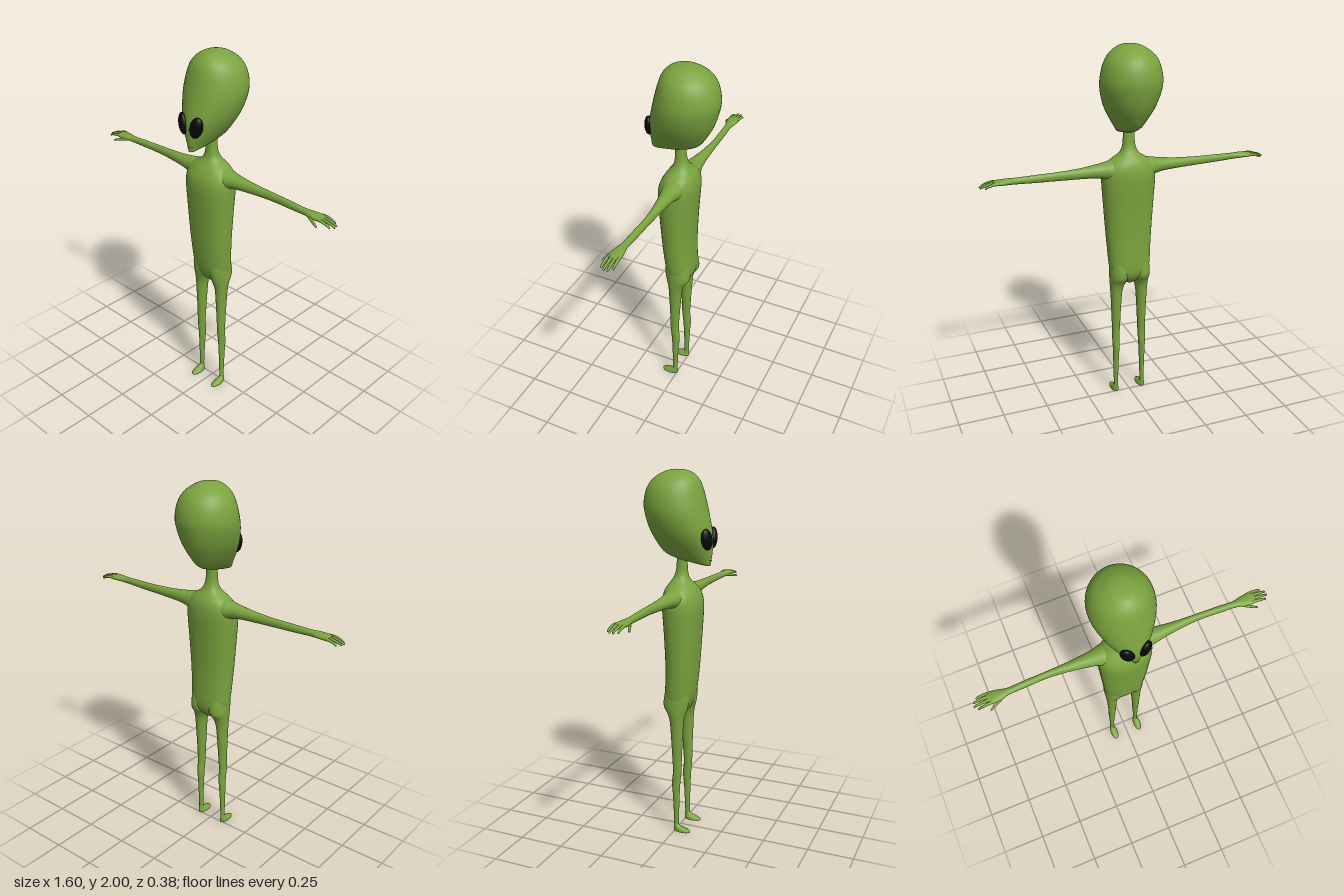
import * as THREE from 'three';

const skin = new THREE.MeshStandardMaterial({ color: 0x7aa33e });
skin.name = 'green skin';
const black = new THREE.MeshStandardMaterial({ color: 0x080808 });
black.name = 'black eye';

// Smooth interpolation of the cross-section table at position u (in rows)
function sample(rows, u) {
  const i = Math.min(Math.floor(u), rows.length - 2), f = u - i;
  const at = k => rows[Math.max(0, Math.min(rows.length - 1, k))];
  const [p, q, r, s] = [at(i - 1), at(i), at(i + 1), at(i + 2)];
  return q.map((_, c) => 0.5 * (2 * q[c] + (r[c] - p[c]) * f
    + (2 * p[c] - 5 * q[c] + 4 * r[c] - s[c]) * f * f
    + (3 * q[c] - p[c] - 3 * r[c] + s[c]) * f * f * f));
}

// Skin over rounded sections. Rows ascend along the axis:
// axis 'y': [y, x0, x1, z0, z1]   axis 'x': [x, z0, z1, y0, y1]
function loft(rows, { axis = 'y', side = 1, seg = 32, sub = 5, power = 1 } = {}) {
  const pos = [], idx = [], n = (rows.length - 1) * sub;
  const put = (t, a, b) => axis === 'y' ? pos.push(side * a, t, b) : pos.push(side * t, b, a);
  const tri = (a, b, c) => side > 0 ? idx.push(a, b, c) : idx.push(a, c, b);
  const round = v => Math.sign(v) * Math.abs(v) ** power;
  const ring = (t, a0, a1, b0, b1) => {
    for (let j = 0; j < seg; j++) {
      const w = j / seg * Math.PI * 2;
      put(t, (a0 + a1) / 2 + Math.max(0, a1 - a0) / 2 * round(Math.cos(w)),
        (b0 + b1) / 2 + Math.max(0, b1 - b0) / 2 * round(Math.sin(w)));
    }
  };
  for (let i = 0; i <= n; i++) ring(...sample(rows, i / sub));
  for (let i = 0; i < n; i++) for (let j = 0; j < seg; j++) {
    const a = i * seg + j, b = i * seg + (j + 1) % seg;
    tri(a, a + seg, b);
    tri(b, a + seg, b + seg);
  }
  // Flat caps on open ends
  [rows[0], rows[rows.length - 1]].forEach((r, end) => {
    if (r[2] - r[1] < 1e-4) return;
    const base = pos.length / 3;
    ring(...r);
    put(r[0], (r[1] + r[2]) / 2, (r[3] + r[4]) / 2);
    for (let j = 0; j < seg; j++) {
      const a = base + j, b = base + (j + 1) % seg;
      end ? tri(a, base + seg, b) : tri(b, base + seg, a);
    }
  });
  const g = new THREE.BufferGeometry();
  g.setAttribute('position', new THREE.Float32BufferAttribute(pos, 3));
  g.setIndex(idx);
  g.computeVertexNormals();
  return g;
}

export function createModel() {
  const model = new THREE.Group();
  model.name = 'alien figure';
  const add = (name, geometry, material = skin) => {
    const m = new THREE.Mesh(geometry, material);
    m.name = name;
    model.add(m);
    return m;
  };
  // Section symmetric about x = 0: height, half width, back, front
  const sym = ([y, w, back, front]) => [y, -w, w, back, front];

  // Egg-shaped head leaning forward to a pointed chin
  add('head', loft([
    [1.513, 0, 0.157, 0.157], [1.517, 0.014, 0.12, 0.167], [1.53, 0.03, 0.05, 0.169],
    [1.55, 0.047, -0.035, 0.171], [1.58, 0.07, -0.095, 0.175], [1.64, 0.108, -0.138, 0.176],
    [1.70, 0.137, -0.168, 0.167], [1.77, 0.157, -0.188, 0.15], [1.83, 0.16, -0.195, 0.135],
    [1.90, 0.145, -0.18, 0.116], [1.95, 0.115, -0.147, 0.095], [1.985, 0.067, -0.093, 0.058],
    [1.996, 0.034, -0.057, 0.02], [2.0, 0, -0.02, -0.02],
  ].map(sym), { seg: 48 }));

  // Torso, shoulders and neck
  add('torso', loft([
    [0.688, 0, 0, 0], [0.692, 0.018, -0.02, 0.025], [0.715, 0.055, -0.046, 0.05],
    [0.75, 0.1, -0.068, 0.066], [0.80, 0.115, -0.075, 0.08], [0.90, 0.122, -0.072, 0.092],
    [1.0, 0.129, -0.071, 0.1], [1.15, 0.139, -0.077, 0.109], [1.28, 0.147, -0.085, 0.115],
    [1.34, 0.143, -0.084, 0.107], [1.38, 0.122, -0.075, 0.088], [1.405, 0.092, -0.062, 0.071],
    [1.425, 0.062, -0.048, 0.056], [1.45, 0.042, -0.033, 0.043], [1.49, 0.032, -0.022, 0.037],
    [1.57, 0.029, -0.017, 0.035],
  ].map(sym), { seg: 40, power: 0.9 }));

  // Small mouth line
  const mouth = new THREE.QuadraticBezierCurve3(new THREE.Vector3(-0.02, 1.542, 0.159),
    new THREE.Vector3(0, 1.54, 0.184), new THREE.Vector3(0.02, 1.542, 0.159));
  add('mouth', new THREE.TubeGeometry(mouth, 12, 0.002, 6));

  for (const side of [1, -1]) {
    const tag = side > 0 ? 'left' : 'right';

    // Slanted almond eye
    const eye = add(`${tag}Eye`, new THREE.SphereGeometry(1, 32, 20), black);
    eye.scale.set(0.034, 0.056, 0.022);
    eye.position.set(side * 0.046, 1.656, 0.163);
    eye.rotation.set(0.03, side * 0.45, -side * 0.25, 'YXZ');

    // Leg with knee, calf and flat foot
    add(`${tag}Leg`, loft([
      [0, 0.058, 0.102, -0.006, 0.09], [0.01, 0.058, 0.102, -0.007, 0.089],
      [0.021, 0.064, 0.099, -0.007, 0.062], [0.035, 0.069, 0.094, -0.006, 0.028],
      [0.06, 0.069, 0.092, -0.005, 0.023], [0.2, 0.064, 0.095, -0.011, 0.026],
      [0.29, 0.06, 0.097, -0.018, 0.03], [0.36, 0.057, 0.099, -0.012, 0.036],
      [0.45, 0.053, 0.1, -0.016, 0.038], [0.6, 0.045, 0.105, -0.026, 0.044],
      [0.66, 0.037, 0.109, -0.032, 0.047], [0.70, 0.022, 0.112, -0.046, 0.055],
      [0.74, 0.008, 0.114, -0.071, 0.066], [0.8, 0.006, 0.112, -0.068, 0.072],
      [0.88, 0.02, 0.1, -0.05, 0.06],
    ], { side }));

    // Arm and palm
    const opt = { axis: 'x', side };
    add(`${tag}Arm`, loft([
      [0.05, -0.06, 0.07, 1.29, 1.405], [0.11, -0.054, 0.06, 1.295, 1.398],
      [0.15, -0.042, 0.048, 1.306, 1.391], [0.2, -0.034, 0.038, 1.315, 1.384],
      [0.28, -0.026, 0.025, 1.32, 1.376], [0.4, -0.02, 0.014, 1.325, 1.371],
      [0.52, -0.017, 0.018, 1.328, 1.368], [0.61, -0.013, 0.022, 1.331, 1.365],
      [0.65, -0.021, 0.032, 1.333, 1.365], [0.69, -0.028, 0.038, 1.335, 1.363],
      [0.72, -0.028, 0.036, 1.338, 1.359], [0.73, -0.02, 0.028, 1.345, 1.355],
    ], opt));

    // Four drooping fingers
    [[-0.021, 0.776], [-0.005, 0.797], [0.012, 0.8], [0.029, 0.785]].forEach(([z, tip], i) => {
      const rows = [[0, 0.001, 0.008], [0.4, 0.001, 0.008], [0.75, -0.006, 0.0065],
        [0.95, -0.014, 0.005], [1, -0.017, 0]].map(([f, dy, r]) => {
        const y = 1.349 + dy, c = z + (z - 0.004) * 0.15 * f;
        return [0.695 + (tip - 0.695) * f, c - r, c + r, y - r, y + r];
      });
      add(`${tag}Finger${i + 1}`, loft(rows, { ...opt, seg: 12 }));
    });

    // Thumb angled forward and down
    add(`${tag}Thumb`, loft([
      [0.64, 0.006, 0.026, 1.336, 1.356], [0.675, 0.026, 0.044, 1.331, 1.348],
      [0.705, 0.042, 0.056, 1.325, 1.339], [0.722, 0.051, 0.061, 1.323, 1.333],
      [0.728, 0.058, 0.058, 1.327, 1.327],
    ], { ...opt, seg: 14 }));
  }
  return model;
}
